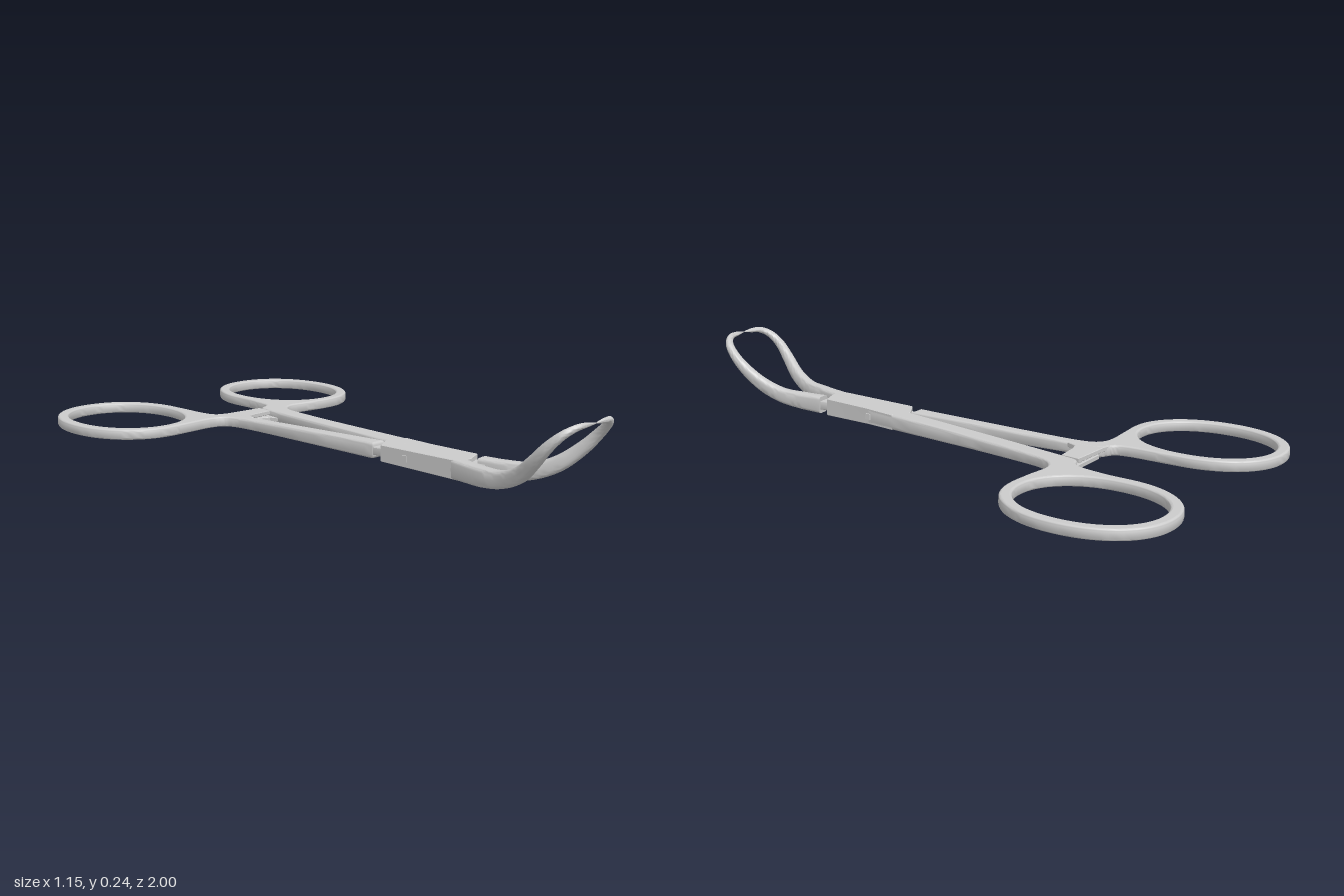
import * as THREE from 'three';
import { toCreasedNormals } from 'three/addons/utils/BufferGeometryUtils.js';

const material = new THREE.MeshStandardMaterial({ color: 0xcccccc });
const toVectors = (list) => list.map(([x, z]) => new THREE.Vector2(x, z));
const smooth = (list, n) => new THREE.SplineCurve(toVectors(list)).getPoints(n);

function addMesh(parent, name, geometry) {
  const mesh = new THREE.Mesh(geometry, material);
  mesh.name = name;
  parent.add(mesh);
  return mesh;
}

// Plan outline (x, z) turned into a plate; low and high run from -1 (underside) to 1 (top).
// The instrument gets thicker from the finger rings towards the lock.
function plate(points, { hole, low = -1, high = 1, bevel = 0.002, bevelHeight = 0.1, bevelSegments = 1 }) {
  const shape = new THREE.Shape(points);
  if (hole) shape.holes.push(new THREE.Path(hole));
  const extruded = new THREE.ExtrudeGeometry(shape, {
    depth: high - low - 2 * bevelHeight,
    bevelThickness: bevelHeight, bevelSize: bevel, bevelOffset: -bevel, bevelSegments,
  });
  extruded.translate(0, 0, bevelHeight - high);
  extruded.rotateX(Math.PI / 2);
  const p = extruded.attributes.position;
  for (let i = 0; i < p.count; i++) {
    const t = THREE.MathUtils.clamp((p.getZ(i) + 0.45) / 0.95, 0, 1);
    p.setY(i, 0.0275 + 0.0025 * t + p.getY(i) * (0.0175 + 0.0125 * t));
  }
  // Rounded sides, evenly flat top and bottom
  const lids = extruded.groups[0];
  const geometry = toCreasedNormals(extruded, 0.6);
  const n = geometry.attributes.normal;
  for (let i = lids.start; i < lids.start + lids.count; i++) n.setXYZ(i, 0, Math.sign(n.getY(i)), 0);
  return geometry;
}

// Slightly squared oval arc, angles in degrees; side mirrors it in x
function oval(cx, cz, rx, rz, side, from, to) {
  const points = [];
  for (let a = from; a <= to; a += 5) {
    const c = Math.cos((a * Math.PI) / 180), s = Math.sin((a * Math.PI) / 180);
    const power = (v) => Math.sign(v) * Math.abs(v) ** 0.94;
    points.push(new THREE.Vector2(cx + side * rx * power(c), cz + rz * power(s)));
  }
  return points;
}

// Finger ring and shank in one piece; the hole always runs counter-clockwise
function handle(cx, cz, side, innerEdge, outerEdge) {
  const outline = [
    ...oval(cx, cz, 0.217, 0.261, side, 90, 355),
    ...smooth(innerEdge, 40),
    ...smooth(outerEdge, 40),
  ];
  const hole = oval(cx, cz, 0.18, 0.223, 1, 0, 355);
  return plate(outline, { hole, bevel: 0.008, bevelHeight: 0.5, bevelSegments: 4 });
}

// Jaw stations: distance from the jaw midline, y, z, half width, half height
const JAW = [
  [0.04, 0.030, 0.575, 0.025, 0.030],
  [0.055, 0.033, 0.66, 0.023, 0.029],
  [0.071, 0.043, 0.74, 0.020, 0.026],
  [0.091, 0.075, 0.815, 0.019, 0.024],
  [0.113, 0.128, 0.88, 0.018, 0.020],
  [0.120, 0.174, 0.925, 0.016, 0.016],
  [0.108, 0.210, 0.962, 0.014, 0.012],
  [0.077, 0.229, 0.984, 0.011, 0.009],
  [0.036, 0.233, 0.991, 0.008, 0.006],
  [0.003, 0.233, 0.994, 0.002, 0.002],
];

// Swept, tapering jaw with a rounded rectangular section
function jaw(side, baseOffset, baseZ) {
  const stations = JAW.map((s) => [...s]);
  stations[0][0] = baseOffset;
  stations[0][2] = baseZ;
  const curve = new THREE.CatmullRomCurve3(
    stations.map(([d, y, z]) => new THREE.Vector3(-0.058 + side * d, y, z)));
  const rings = 54, around = 20;
  const positions = [], index = [];
  for (let i = 0; i <= rings; i++) {
    const t = i / rings, f = t * (JAW.length - 1);
    const k = Math.min(Math.floor(f), JAW.length - 2);
    const size = (j) => THREE.MathUtils.lerp(stations[k][j], stations[k + 1][j], f - k);
    const center = curve.getPoint(t), tangent = curve.getTangent(t);
    const lean = THREE.MathUtils.smoothstep(t, 0.05, 0.55) * 0.85;
    const reference = new THREE.Vector3(0, Math.cos(lean), -Math.sin(lean));
    const across = reference.cross(tangent).normalize();
    const up = tangent.clone().cross(across);
    const exponent = THREE.MathUtils.lerp(0.35, 0.85, Math.min(1, t * 2));
    for (let j = 0; j < around; j++) {
      const a = (j / around) * Math.PI * 2;
      const round = (v) => Math.sign(v) * Math.abs(v) ** exponent;
      const p = center.clone()
        .addScaledVector(across, round(Math.cos(a)) * size(3))
        .addScaledVector(up, round(Math.sin(a)) * size(4));
      positions.push(p.x, p.y, p.z);
      if (i < rings) {
        const b = i * around + j, c = i * around + ((j + 1) % around);
        index.push(b, c, c + around, b, c + around, b + around);
      }
    }
  }
  // End caps
  const last = rings * around;
  for (let j = 1; j < around - 1; j++) {
    index.push(0, j + 1, j, last, last + j, last + j + 1);
  }
  const geometry = new THREE.BufferGeometry();
  geometry.setAttribute('position', new THREE.Float32BufferAttribute(positions, 3));
  geometry.setIndex(index);
  return toCreasedNormals(geometry, 0.7);
}

export function createModel() {
  const model = new THREE.Group();
  model.name = 'towelClamp';

  // Handles with finger rings
  addMesh(model, 'rightHandle', handle(-0.357, -0.74, 1,
    [[-0.139, -0.68], [-0.138, -0.59], [-0.128, -0.54], [-0.105, -0.522], [-0.08, -0.505],
      [-0.07, -0.46], [-0.07, -0.4], [-0.055, -0.1], [-0.04, 0.2]],
    [[-0.095, 0.2], [-0.102, -0.1], [-0.11, -0.344], [-0.122, -0.44], [-0.146, -0.477],
      [-0.19, -0.488], [-0.27, -0.484], [-0.34, -0.479]]));
  addMesh(model, 'leftHandle', handle(0.355, -0.716, -1,
    [[0.137, -0.66], [0.129, -0.6], [0.118, -0.55], [0.097, -0.523], [0.067, -0.508],
      [0.055, -0.46], [0.045, -0.397], [0.005, -0.1], [-0.034, 0.2], [-0.04, 0.28]],
    [[0.02, 0.34], [0.036, 0.2], [0.072, -0.13], [0.102, -0.344], [0.118, -0.413], [0.145, -0.453],
      [0.188, -0.469], [0.26, -0.461], [0.335, -0.455]]));

  // Ratchet arms, one above the other, with facing teeth
  addMesh(model, 'upperRatchetArm', plate(toVectors([
    [-0.12, -0.526], [-0.09, -0.516], [0.056, -0.508], [0.05, -0.445], [-0.03, -0.438],
    [-0.056, -0.43], [-0.07, -0.395], [-0.095, -0.42]]), { low: 0.12, high: 0.97 }));
  addMesh(model, 'lowerRatchetArm', plate(toVectors([
    [0.1, -0.522], [0.06, -0.511], [-0.066, -0.512], [-0.066, -0.45], [0.01, -0.438],
    [0.035, -0.428], [0.048, -0.39], [0.08, -0.42]]), { low: -0.97, high: -0.12 }));
  for (let i = 0; i < 5; i++) {
    const tooth = addMesh(model, 'ratchetTooth', new THREE.BoxGeometry(0.007, 0.006, 0.05));
    tooth.position.set(-0.045 + i * 0.02, 0.0275, -0.48);
  }

  // Box lock: outer body, the thin core passing through it and the square pin
  addMesh(model, 'boxLock', plate(toVectors([
    [-0.034, 0.2], [0.032, 0.23], [0.018, 0.35], [0.01, 0.535], [-0.05, 0.56],
    [-0.103, 0.56], [-0.1, 0.24]]), { bevelHeight: 0.06 }));
  addMesh(model, 'lockCore', plate(toVectors([
    [-0.095, 0.18], [-0.04, 0.18], [0.01, 0.6], [-0.036, 0.6]]), { low: -0.5, high: 0.5 }));
  const pin = addMesh(model, 'lockPin', new THREE.BoxGeometry(0.13, 0.02, 0.02));
  pin.position.set(-0.04, 0.03, 0.34);

  // Curved jaws meeting at their points
  addMesh(model, 'rightJaw', jaw(-1, 0.023, 0.535));
  addMesh(model, 'leftJaw', jaw(1, 0.045, 0.572));

  return model;
}
